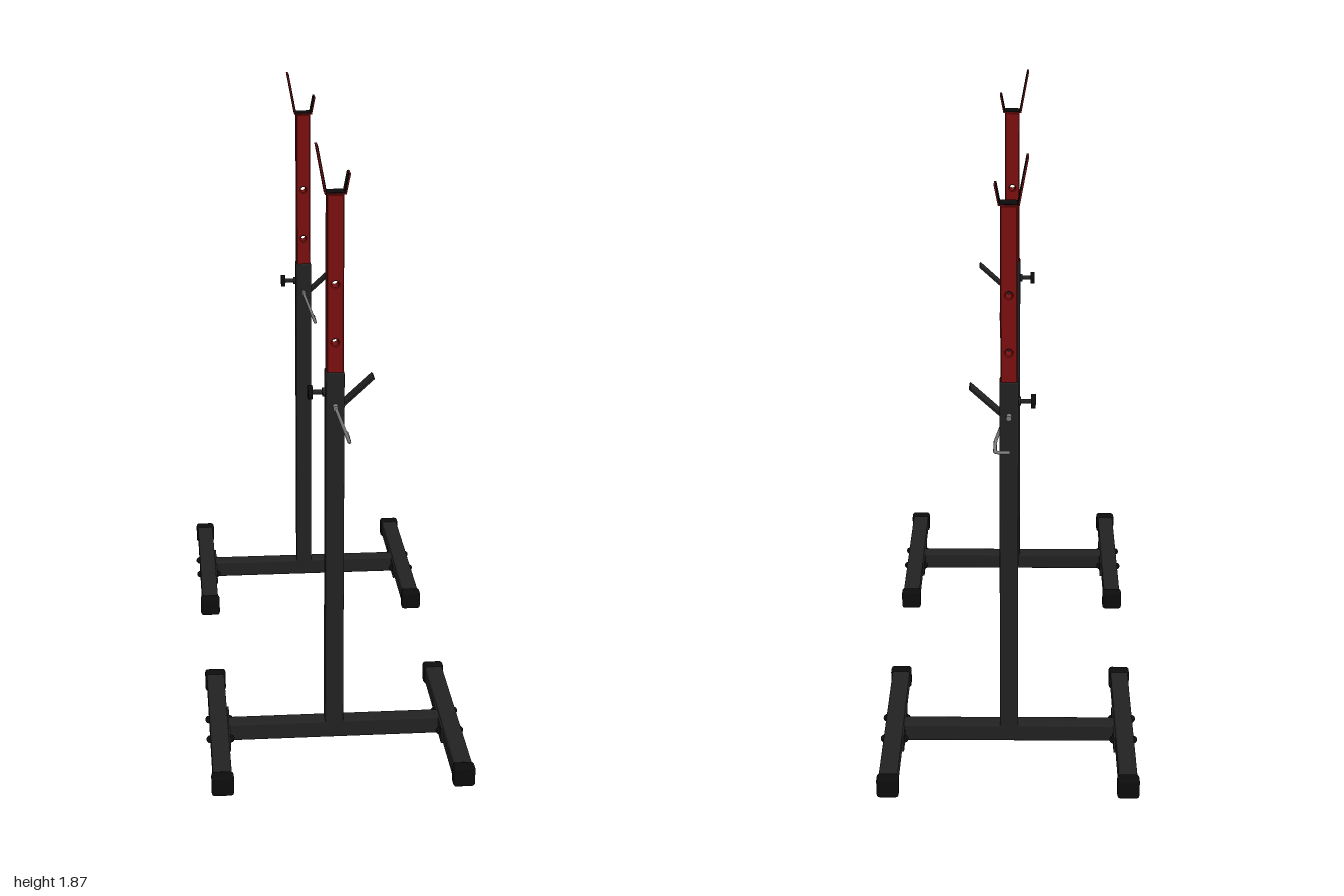
import * as THREE from 'three';
import { RoundedBoxGeometry } from 'three/addons/geometries/RoundedBoxGeometry.js';

const mat = (color, side = THREE.FrontSide) => new THREE.MeshStandardMaterial({ color, side });
const steel = mat(0x222222);
const rubber = mat(0x0c0c0c);
const red = mat(0x7d0f10);
const wire = mat(0x808080);

function add(parent, name, geometry, material, x = 0, y = 0, z = 0) {
  const mesh = new THREE.Mesh(geometry, material);
  mesh.name = name;
  mesh.position.set(x, y, z);
  parent.add(mesh);
  return mesh;
}

const bar = (w, h, d, r = 0.006) => new RoundedBoxGeometry(w, h, d, 2, r);

// Strip of constant thickness following 2D points, extruded across z
function strip(points, thickness, width) {
  const pts = points.map(p => new THREE.Vector2(...p));
  const inner = pts.map((p, i) => {
    const a = pts[Math.max(i - 1, 0)], b = pts[Math.min(i + 1, pts.length - 1)];
    const d = b.clone().sub(a).normalize();
    return new THREE.Vector2(p.x - d.y * thickness, p.y + d.x * thickness);
  });
  const geo = new THREE.ExtrudeGeometry(new THREE.Shape([...pts, ...inner.reverse()]),
    { depth: width, bevelEnabled: false });
  return geo.translate(0, 0, -width / 2);
}

// Square upright drilled through from front to back
function drilledTube(width, y0, y1, holes) {
  const h = width / 2;
  const shape = new THREE.Shape([[-h, y0], [h, y0], [h, y1], [-h, y1]].map(p => new THREE.Vector2(...p)));
  for (const y of holes) {
    const hole = new THREE.Path();
    hole.absarc(0, y, 0.01, 0, Math.PI * 2, true);
    shape.holes.push(hole);
  }
  const bevel = 0.003;
  return new THREE.ExtrudeGeometry(shape, {
    depth: width - 2 * bevel, bevelEnabled: true, bevelSize: bevel, bevelOffset: -bevel,
    bevelThickness: bevel, bevelSegments: 1, curveSegments: 10,
  }).translate(0, 0, -h + bevel);
}

function createFoot(side) {
  const foot = new THREE.Group();
  foot.name = 'foot';
  foot.position.x = side * 0.358;
  add(foot, 'footTube', bar(0.056, 0.056, 0.7), steel, 0, 0.033, 0);
  add(foot, 'mountingPlate', new THREE.BoxGeometry(0.006, 0.05, 0.2), steel, -side * 0.031, 0.033, 0);
  for (const end of [-1, 1]) {
    add(foot, 'endCap', bar(0.066, 0.065, 0.042, 0.01), rubber, 0, 0.0325, end * 0.341);
    // Bolt through the tube, a domed head on each face
    for (const face of [-1, 1]) {
      const head = add(foot, 'boltHead', new THREE.SphereGeometry(0.012, 12, 6, 0, Math.PI * 2, 0, Math.PI / 2),
        rubber, face * (face === side ? 0.028 : 0.034), 0.033, end * 0.065);
      head.rotation.z = -face * Math.PI / 2;
    }
  }
  return foot;
}

function createCradle() {
  const cradle = new THREE.Group();
  cradle.name = 'barCradle';
  cradle.position.y = 1.725;
  const outline = [[-0.057, 0.14], [-0.031, 0], [0.031, 0], [0.043, 0.06]];
  add(cradle, 'cradlePlate', strip(outline, 0.004, 0.052), red);
  // Dark liner on the inner faces
  const lining = [[-0.0532, 0.14], [-0.0275, 0.004], [0.0275, 0.004], [0.039, 0.06]];
  add(cradle, 'cradleLiner', strip(lining, 0.003, 0.052), rubber);
  return cradle;
}

function createKnob() {
  const knob = new THREE.Group();
  knob.name = 'clampKnob';
  knob.position.y = 1.127;
  const turned = (name, r, length, x, material) => {
    add(knob, name, new THREE.CylinderGeometry(r, r, length, 16), material, x).rotation.z = Math.PI / 2;
  };
  turned('knobStem', 0.007, 0.05, -0.047, steel);
  turned('knobNut', 0.013, 0.008, -0.032, steel);
  turned('knobGrip', 0.021, 0.014, -0.072, rubber);
  return knob;
}

function createPin() {
  const pin = new THREE.Group();
  pin.name = 'lockingPin';
  add(pin, 'pinShaft', new THREE.CylinderGeometry(0.008, 0.008, 0.1, 12), wire, 0, 1.09, 0)
    .rotation.x = Math.PI / 2;
  // Wire clip that swings down and round the upright
  const corners = [[0, 1.09, 0.03], [0, 1.09, 0.048], [0.041, 0.982, 0.048],
    [0.041, 0.982, -0.046], [-0.004, 0.982, -0.046]].map(p => new THREE.Vector3(...p));
  const path = new THREE.CurvePath();
  let from = corners[0];
  for (let i = 1; i < corners.length - 1; i++) {
    const c = corners[i];
    const before = c.clone().add(corners[i - 1].clone().sub(c).setLength(0.01));
    const after = c.clone().add(corners[i + 1].clone().sub(c).setLength(0.01));
    path.add(new THREE.LineCurve3(from, before));
    path.add(new THREE.QuadraticBezierCurve3(before, c, after));
    from = after;
  }
  path.add(new THREE.LineCurve3(from, corners[corners.length - 1]));
  add(pin, 'pinClip', new THREE.TubeGeometry(path, 80, 0.0055, 8), wire);
  return pin;
}

function createStand(z) {
  const stand = new THREE.Group();
  stand.name = 'stand';
  stand.position.z = z;

  // Base
  stand.add(createFoot(-1), createFoot(1));
  add(stand, 'crossbar', bar(0.66, 0.056, 0.056), steel, 0, 0.033, 0);

  // Uprights
  add(stand, 'lowerUpright', bar(0.056, 1.145, 0.056), steel, 0, 0.6225, 0);
  add(stand, 'upperUpright', drilledTube(0.05, 1.15, 1.725, [1.285, 1.46]), red);

  // Safety catch angled up from the upright
  add(stand, 'safetyCatch', strip([[0.026, 1.06], [0.028, 1.09], [0.117, 1.172]], 0.006, 0.055), steel);

  stand.add(createCradle(), createKnob(), createPin());
  return stand;
}

export function createModel() {
  const model = new THREE.Group();
  model.name = 'squatStands';
  for (const z of [-0.638, 0.638]) model.add(createStand(z));
  return model;
}
